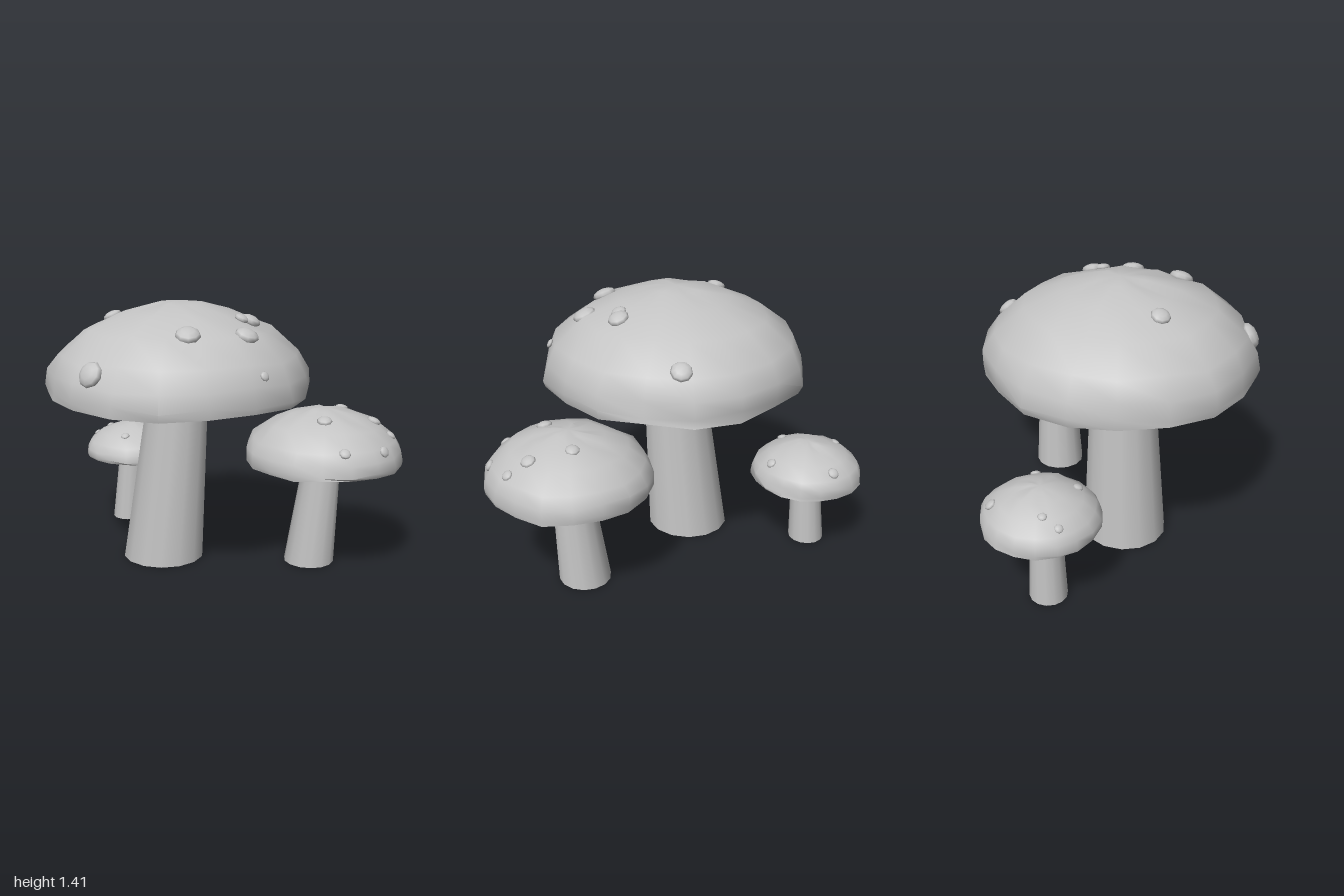
import * as THREE from 'three';
import { mergeVertices, toCreasedNormals } from 'three/addons/utils/BufferGeometryUtils.js';

const SIDES = 18;
// Cap outline for a radius of 1, from the underside centre over the rim to the crown
const PROFILE = [
  [0, -0.062], [0.4, -0.055], [0.75, -0.035], [0.99, 0.0], [1.0, 0.06], [0.985, 0.18],
  [0.91, 0.32], [0.7, 0.49], [0.42, 0.61], [0.17, 0.675], [0, 0.695],
].map(([r, y]) => new THREE.Vector2(r, y));
const RIM = 3;

// r: cap radius; warts are [x, z, size]
const MUSHROOMS = [
  {
    name: 'large', seed: 7, cap: [-0.14, 0.935, 0.032], r: 0.69,
    foot: [-0.24, 0.045], footR: 0.22, topR: 0.165, lean: 0.095,
    warts: [[-0.46, 0.17, 0.05], [0.11, -0.51, 0.055], [0.225, -0.06, 0.055], [0.2, -0.01, 0.04],
      [0.31, 0.17, 0.062], [0.1, 0.39, 0.064], [-0.28, 0.665, 0.068], [0.46, 0.29, 0.025]],
  },
  {
    name: 'medium', seed: 23, cap: [0.578, 0.575, -0.233], r: 0.418,
    foot: [0.515, -0.232], footR: 0.135, topR: 0.1, lean: 0.058,
    warts: [[0.62, -0.39, 0.036], [0.82, -0.33, 0.038], [0.92, -0.31, 0.028], [0.64, -0.07, 0.04],
      [0.945, -0.11, 0.03], [0.8, 0.07, 0.03]],
  },
  {
    name: 'small', seed: 41, cap: [-0.7, 0.403, -0.435], r: 0.295,
    foot: [-0.745, -0.415], footR: 0.095, topR: 0.077, lean: 0.03,
    warts: [[-0.7, -0.67, 0.03], [-0.88, -0.44, 0.022], [-0.93, -0.37, 0.022],
      [-0.66, -0.25, 0.026], [-0.47, -0.44, 0.027]],
  },
];

function seeded(seed) {
  let s = seed * 7919 + 17;
  return () => {
    s = (s * 16807) % 2147483647;
    return (s / 2147483647) * 2 - 1;
  };
}

// Domed cap with uneven sectors, a ragged rim and creases running to the crown
function capGeometry(radius, seed) {
  const rnd = seeded(seed);
  const n = PROFILE.length;
  const sector = Array.from({ length: SIDES }, () => rnd() * 0.015);
  const jitter = Array.from({ length: SIDES * n }, () => [rnd(), rnd()]);
  const geo = new THREE.LatheGeometry(PROFILE, SIDES);
  const pos = geo.attributes.position;
  for (let k = 0; k < pos.count; k++) {
    const i = Math.floor(k / n) % SIDES;
    const j = k % n;
    if (j === 0 || j === n - 1) continue;
    const [a, b] = jitter[i * n + j];
    const grow = 1 + sector[i] + a * 0.015;
    const lift = j < RIM ? 0 : b * (j >= n - 3 ? 0.014 : 0.02);
    pos.setXYZ(k, pos.getX(k) * grow, pos.getY(k) + lift, pos.getZ(k) * grow);
  }
  geo.deleteAttribute('normal');
  geo.deleteAttribute('uv');
  geo.scale(radius, radius, radius);
  return toCreasedNormals(mergeVertices(geo), 0.8);
}

// Tapered stem whose top is shifted sideways
function stemGeometry(m) {
  const height = m.cap[1] - 0.05 * m.r;
  const geo = new THREE.CylinderGeometry(m.topR, m.footR, height, 14);
  geo.translate(0, height / 2, 0);
  const pos = geo.attributes.position;
  for (let k = 0; k < pos.count; k++) {
    pos.setX(k, pos.getX(k) + (m.lean * pos.getY(k)) / height);
  }
  return geo;
}

// Height and slope of the dome at a distance from its axis
function domeAt(distance) {
  for (let j = RIM + 1; j < PROFILE.length - 1; j++) {
    const p = PROFILE[j];
    const q = PROFILE[j + 1];
    if (distance <= p.x && distance >= q.x) {
      const t = (p.x - distance) / (p.x - q.x);
      return { y: p.y + (q.y - p.y) * t, normal: new THREE.Vector2(q.y - p.y, p.x - q.x).normalize() };
    }
  }
  return { y: 0.1, normal: new THREE.Vector2(1, 0) };
}

export function createModel() {
  const model = new THREE.Group();
  model.name = 'mushroomCluster';
  const grey = new THREE.MeshStandardMaterial({ color: 0xc4c4c4 });
  grey.name = 'pale grey';
  const wartGeo = new THREE.SphereGeometry(1, 9, 6);
  const up = new THREE.Vector3(0, 1, 0);

  for (const m of MUSHROOMS) {
    const group = new THREE.Group();
    group.name = `${m.name}Mushroom`;
    const [cx, cy, cz] = m.cap;

    const stem = new THREE.Mesh(stemGeometry(m), grey);
    stem.name = 'stem';
    stem.position.set(m.foot[0], 0, m.foot[1]);

    const cap = new THREE.Mesh(capGeometry(m.r, m.seed), grey);
    cap.name = 'cap';
    cap.position.set(cx, cy, cz);
    group.add(stem, cap);

    // Flattened warts lying on the dome
    m.warts.forEach(([x, z, size], i) => {
      const dx = x - cx;
      const dz = z - cz;
      const d = Math.hypot(dx, dz);
      const { y, normal } = domeAt(d / m.r);
      const wart = new THREE.Mesh(wartGeo, grey);
      wart.name = `wart${i + 1}`;
      wart.position.set(x, cy + y * m.r, z);
      const out = new THREE.Vector3((dx / d) * normal.x, normal.y, (dz / d) * normal.x);
      wart.quaternion.setFromUnitVectors(up, out);
      wart.scale.set(size, size * 0.5, size);
      group.add(wart);
    });
    model.add(group);
  }
  return model;
}
